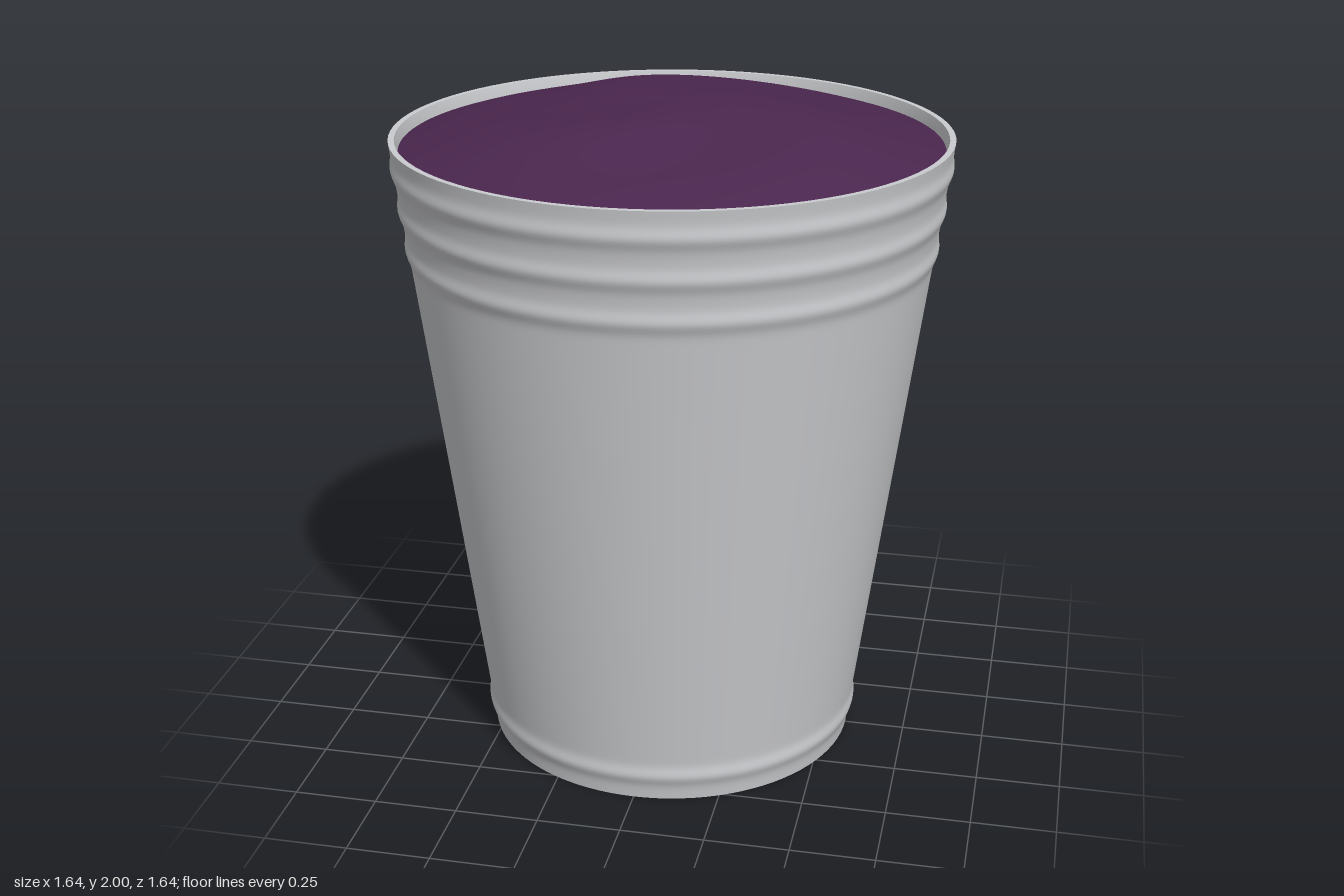
import * as THREE from 'three';
import { mergeVertices } from 'three/addons/utils/BufferGeometryUtils.js';

const metal = new THREE.MeshStandardMaterial({ color: 0xcacbce });
metal.name = 'pale grey metal';
const purple = new THREE.MeshStandardMaterial({ color: 0x4a264e });
purple.name = 'dark purple filling';

const SEGMENTS = 96;
const RIM_Y = 1.9;
const FILL_RADIUS = 0.793;
const FILL_EDGE_Y = 1.865;
const BEADS = [0.08, 1.58, 1.7, 1.82];

// Tapered wall radius with a soft raised bead at each listed height
function wallRadius(y) {
  let r = 0.566 + 0.1335 * y;
  for (const b of BEADS) r += 0.009 * Math.exp(-(((y - b) / 0.026) ** 2));
  return r;
}

function lathe(name, pairs) {
  const points = pairs.map(([r, y]) => new THREE.Vector2(r, y));
  const mesh = new THREE.Mesh(new THREE.LatheGeometry(points, SEGMENTS), metal);
  mesh.name = name;
  return mesh;
}

// Outer wall profile: fine steps around the beads, one long straight run between
function outerProfile() {
  const pairs = [];
  for (let i = 0; i <= 20; i++) pairs.push(i * 0.008);
  for (let i = 0; i <= 50; i++) pairs.push(1.5 + i * 0.008);
  return pairs.map((y) => [wallRadius(y), y]);
}

// Domed surface with three spiral swirls
function createFilling() {
  let geo = new THREE.RingGeometry(0, FILL_RADIUS, SEGMENTS, 32);
  geo.rotateX(-Math.PI / 2);
  const pos = geo.attributes.position;
  for (let i = 0; i < pos.count; i++) {
    const x = pos.getX(i), z = pos.getZ(i);
    const r = Math.hypot(x, z), t = r / FILL_RADIUS;
    const dome = 0.134 * (1 - t * t);
    const ridge = Math.cos(3 * (Math.atan2(z, x) - 1.3 - 2.1 * r));
    const fade = Math.sin(Math.PI * Math.min(t, 1)) ** 2;
    pos.setY(i, FILL_EDGE_Y + dome + 0.011 * ridge * fade);
  }
  geo.deleteAttribute('uv');
  geo.deleteAttribute('normal');
  geo = mergeVertices(geo, 1e-4);
  geo.computeVertexNormals();
  const mesh = new THREE.Mesh(geo, purple);
  mesh.name = 'swirledFilling';
  return mesh;
}

export function createModel() {
  const model = new THREE.Group();
  model.name = 'filledCup';

  const cup = new THREE.Group();
  cup.name = 'cup';
  const rimOuter = wallRadius(RIM_Y);
  cup.add(
    lathe('outerWall', outerProfile()),
    lathe('rim', [[rimOuter, RIM_Y], [0.802, RIM_Y]]),
    lathe('innerWall', [[0.802, RIM_Y], [0.793, 1.86], [0.56, 0.11]]),
    lathe('innerFloor', [[0.56, 0.11], [0, 0.11]]),
    // Recessed base and the skirt around it
    lathe('recessedBase', [[0, 0.09], [0.555, 0.09]]),
    lathe('skirtInside', [[0.555, 0.09], [0.555, 0]]),
    lathe('footEdge', [[0.555, 0], [wallRadius(0), 0]])
  );

  model.add(cup, createFilling());
  return model;
}
